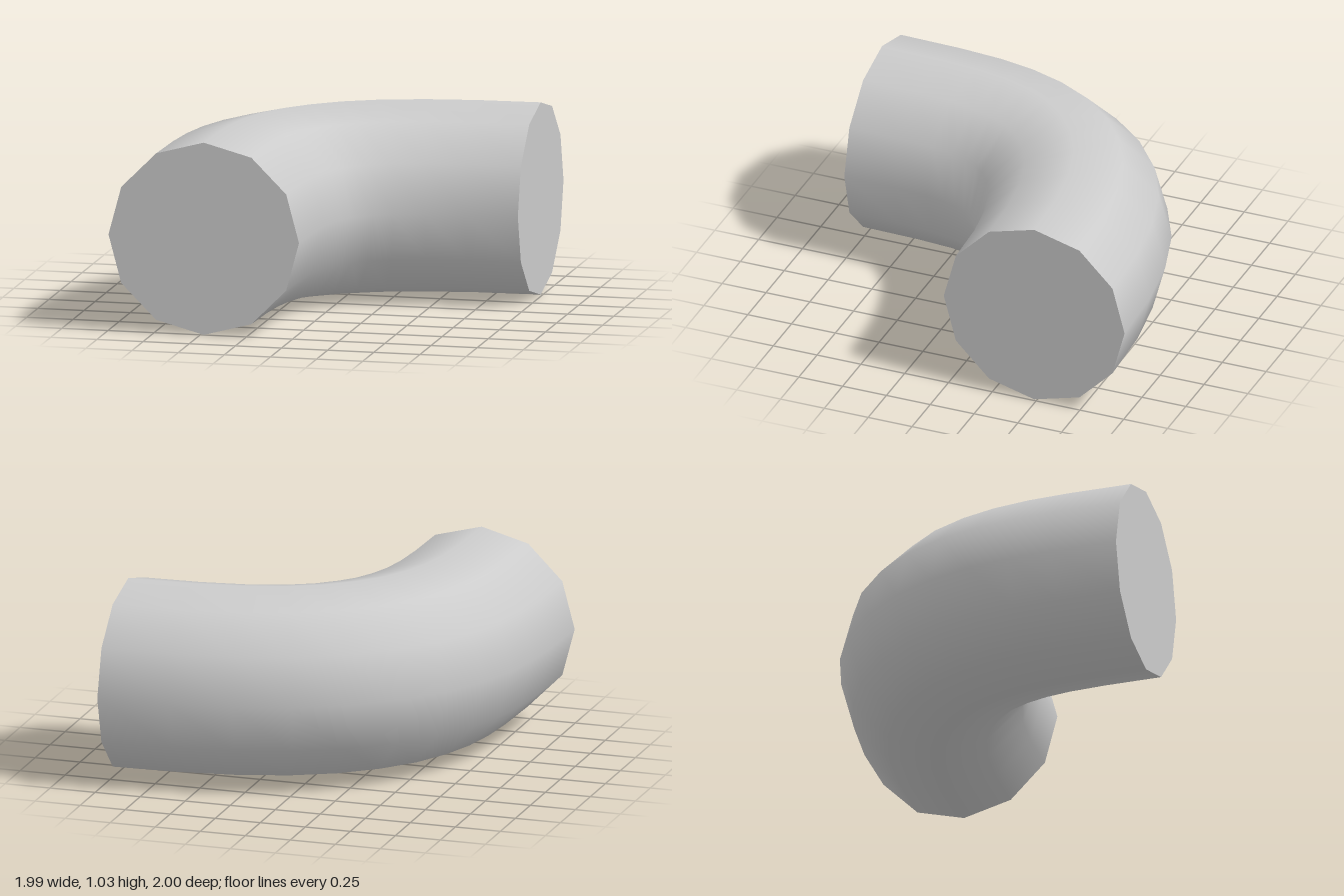
import * as THREE from 'three';

const RADIUS = 0.516;
const SIDES = 12;

// Cross-sections along the bend: centre x, centre z, turn in degrees
const SECTIONS = [
  [-0.482, 0.997, 0], [-0.473, 0.668, 4], [-0.455, 0.452, 7.4], [-0.423, 0.282, 14.6],
  [-0.37, 0.128, 23.4], [-0.29, -0.021, 33.9], [-0.183, -0.146, 46.2], [-0.035, -0.266, 58.3],
  [0.146, -0.359, 68.7], [0.38, -0.428, 76.8], [0.652, -0.468, 84], [0.988, -0.484, 90],
];

// Smooth pipe wall swept through the cross-sections
function pipeWall() {
  const positions = [], normals = [], indices = [];
  SECTIONS.forEach(([x, z, degrees], i) => {
    const turn = THREE.MathUtils.degToRad(degrees);
    for (let j = 0; j <= SIDES; j++) {
      const phi = (j / SIDES) * Math.PI * 2;
      const n = [Math.cos(phi) * Math.cos(turn), Math.sin(phi), Math.cos(phi) * Math.sin(turn)];
      positions.push(x + RADIUS * n[0], RADIUS + RADIUS * n[1], z + RADIUS * n[2]);
      normals.push(...n);
      if (i < SECTIONS.length - 1 && j < SIDES) {
        const a = i * (SIDES + 1) + j, b = a + 1, c = a + SIDES + 1, d = c + 1;
        indices.push(a, c, b, b, c, d);
      }
    }
  });
  const geometry = new THREE.BufferGeometry();
  geometry.setAttribute('position', new THREE.Float32BufferAttribute(positions, 3));
  geometry.setAttribute('normal', new THREE.Float32BufferAttribute(normals, 3));
  geometry.setIndex(indices);
  return geometry;
}

export function createModel() {
  const group = new THREE.Group();
  group.name = 'pipeElbow';
  const material = new THREE.MeshStandardMaterial({ color: 0xcccccc });

  const wall = new THREE.Mesh(pipeWall(), material);
  wall.name = 'pipeWall';
  group.add(wall);

  // Flat caps closing both ends
  const capGeometry = new THREE.CircleGeometry(RADIUS, SIDES);
  const ends = [['frontCap', SECTIONS[0]], ['leftCap', SECTIONS[SECTIONS.length - 1]]];
  for (const [name, [x, z, degrees]] of ends) {
    const cap = new THREE.Mesh(capGeometry, material);
    cap.name = name;
    cap.position.set(x, RADIUS, z);
    cap.rotation.y = THREE.MathUtils.degToRad(degrees);
    group.add(cap);
  }
  return group;
}
